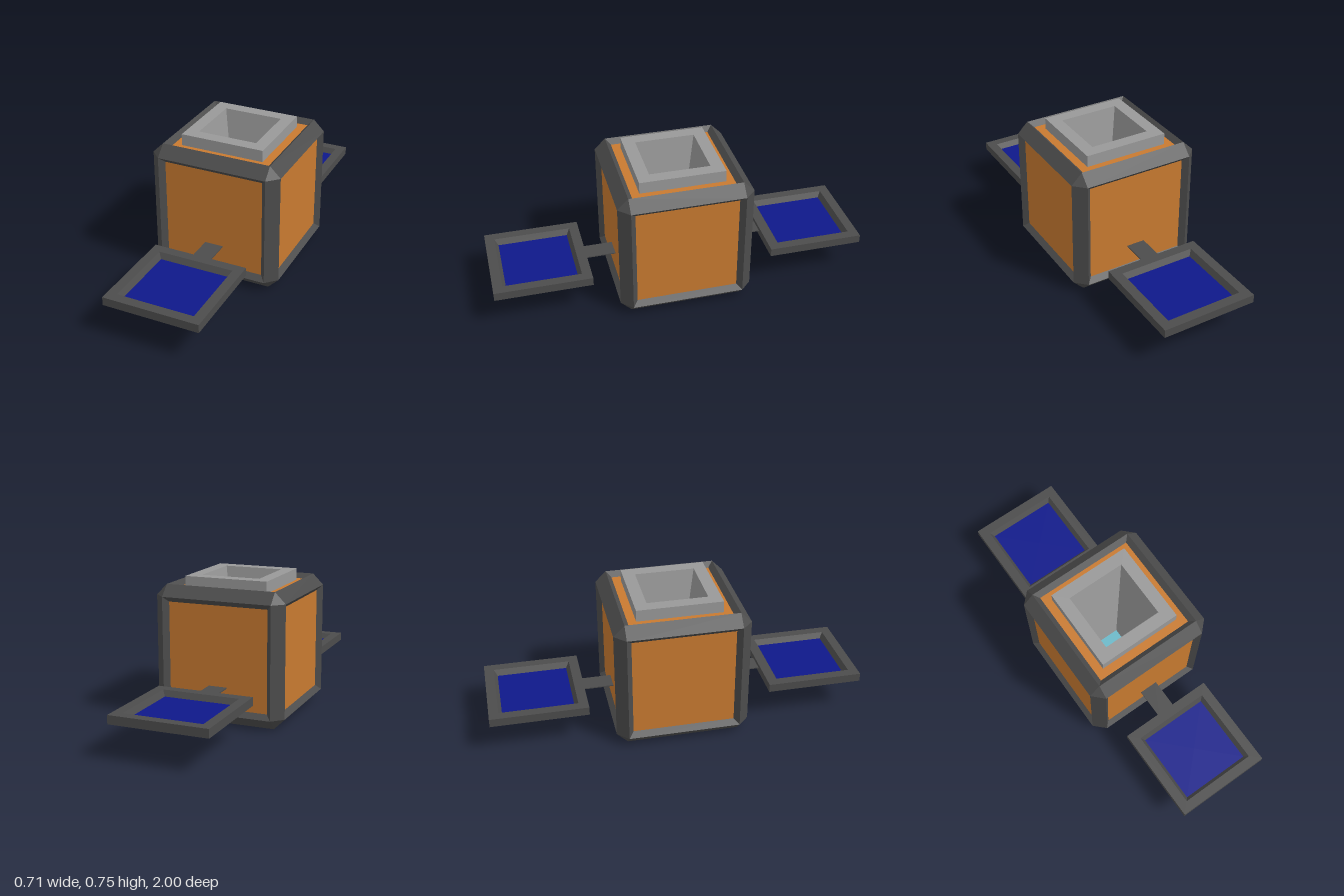
import * as THREE from 'three';

const material = (color) => new THREE.MeshStandardMaterial({ color, flatShading: true });
const dark = material(0x4c4c4c);
const orange = material(0xc87a30);
const grey = material(0x999999);
const blue = material(0x0e188a);
const cyan = material(0x6cb8c8);

const CENTRE = 0.355; // half size of the cube, also its centre height
const FLAT = 0.297;   // half width of each flat side inside the chamfer
const PANEL = 0.27;   // half width of each recessed panel
const SUNK = 0.328;   // distance of the panels from the cube centre

function geometryFrom(points) {
  const g = new THREE.BufferGeometry().setFromPoints(points);
  g.computeVertexNormals();
  return g;
}

// Square cross-sections [half width, height] joined one after another
function squareLoft(profile) {
  const ring = ([h, y]) => [[1, 1], [1, -1], [-1, -1], [-1, 1]]
    .map(([x, z]) => new THREE.Vector3(x * h, y, z * h));
  const points = [];
  for (let i = 0; i + 1 < profile.length; i++) {
    const a = ring(profile[i]), b = ring(profile[i + 1]);
    for (let k = 0; k < 4; k++) {
      const n = (k + 1) % 4;
      if (profile[i][0] > 0) points.push(a[k], a[n], b[n]);
      if (profile[i + 1][0] > 0) points.push(a[k], b[n], b[k]);
    }
  }
  return geometryFrom(points);
}

// Chamfer strips along the 12 edges and triangles at the 8 corners
function chamferGeometry() {
  const points = [];
  const tri = (a, b, c) => {
    const normal = b.clone().sub(a).cross(c.clone().sub(a));
    if (normal.dot(a) < 0) points.push(a, c, b);
    else points.push(a, b, c);
  };
  const at = (axis, i, j, k) => {
    const v = new THREE.Vector3();
    v.setComponent(axis, i);
    v.setComponent((axis + 1) % 3, j);
    v.setComponent((axis + 2) % 3, k);
    return v;
  };
  for (const s of [-1, 1]) for (const t of [-1, 1]) {
    for (let axis = 0; axis < 3; axis++) {
      const a = at(axis, -FLAT, s * CENTRE, t * FLAT), b = at(axis, FLAT, s * CENTRE, t * FLAT);
      const c = at(axis, FLAT, s * FLAT, t * CENTRE), d = at(axis, -FLAT, s * FLAT, t * CENTRE);
      tri(a, b, c);
      tri(a, c, d);
    }
    for (const u of [-1, 1]) {
      tri(at(0, s * CENTRE, t * FLAT, u * FLAT), at(0, s * FLAT, t * CENTRE, u * FLAT),
        at(0, s * FLAT, t * FLAT, u * CENTRE));
    }
  }
  return geometryFrom(points);
}

function add(parent, name, geometry, mat, x = 0, y = 0, z = 0) {
  const mesh = new THREE.Mesh(geometry, mat);
  mesh.name = name;
  mesh.position.set(x, y, z);
  parent.add(mesh);
  return mesh;
}

export function createModel() {
  const model = new THREE.Group();
  model.name = 'satellite';

  // Cube body: chamfered frame with a sunken panel on each side
  const body = new THREE.Group();
  body.name = 'body';
  body.position.y = CENTRE;
  model.add(body);
  add(body, 'chamferedFrame', chamferGeometry(), dark);
  const sides = {
    top: [0, 0], bottom: [Math.PI, 0], front: [Math.PI / 2, 0], back: [-Math.PI / 2, 0],
    left: [0, -Math.PI / 2], right: [0, Math.PI / 2],
  };
  for (const [name, [rx, rz]] of Object.entries(sides)) {
    const side = new THREE.Group();
    side.name = name + 'Side';
    side.rotation.set(rx, 0, rz);
    body.add(side);
    add(side, 'innerBevel', squareLoft([[FLAT, CENTRE], [PANEL, SUNK]]), dark);
    // The top panel is open in the middle for the funnel
    add(side, 'panel', squareLoft([[PANEL, SUNK], [name === 'top' ? 0.2 : 0, SUNK]]), orange);
  }

  // Square collar and tapering funnel with a lens at its bottom
  add(model, 'collar', squareLoft([[0.226, 0.68], [0.226, 0.745], [0.16, 0.745], [0.06, 0.15]]), grey);
  add(model, 'lens', squareLoft([[0.06, 0.15], [0, 0.15]]), cyan);

  // Solar panel and its arm at the front and the back
  for (const s of [1, -1]) {
    const wing = new THREE.Group();
    wing.name = s > 0 ? 'frontSolarWing' : 'backSolarWing';
    model.add(wing);
    add(wing, 'arm', new THREE.BoxGeometry(0.1, 0.006, 0.19), dark, 0, 0.198, s * 0.405);
    add(wing, 'panelFrame', squareLoft([
      [0, 0.175], [0.257, 0.175], [0.257, 0.22], [0.206, 0.22], [0.188, 0.19],
    ]), dark, 0, 0, s * 0.743);
    add(wing, 'solarCells', squareLoft([[0.188, 0.19], [0, 0.19]]), blue, 0, 0, s * 0.743);
  }
  return model;
}
